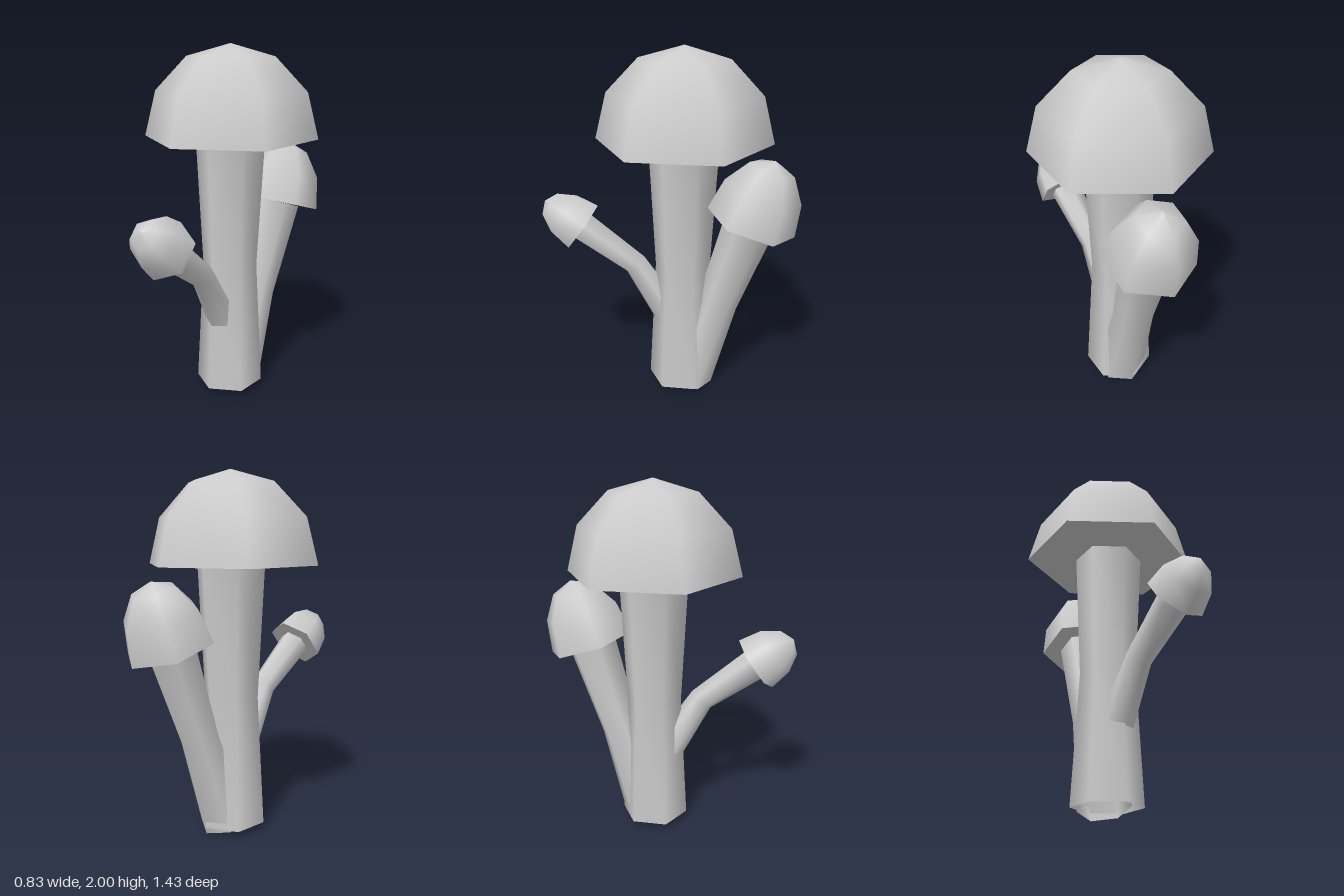
import * as THREE from 'three';
import { mergeVertices } from 'three/addons/utils/BufferGeometryUtils.js';

const SIDES = 6;
const UP = new THREE.Vector3(0, 1, 0);
const material = new THREE.MeshStandardMaterial({ color: 0xcccccc });
const openMaterial = new THREE.MeshStandardMaterial({ color: 0xcccccc, side: THREE.DoubleSide });
const vec = (a) => new THREE.Vector3(...a);

// Six-sided open tube through ring centres, each ring square to the path
function stalk(centres, radii) {
  const pts = centres.map(vec);
  const last = pts.length - 1;
  const geo = new THREE.LatheGeometry(radii.map((r, i) => new THREE.Vector2(r, i)), SIDES);
  const pos = geo.attributes.position;
  const turns = pts.map((p, i) => {
    const dir = pts[Math.min(i + 1, last)].clone().sub(pts[Math.max(i - 1, 0)]).normalize();
    return new THREE.Quaternion().setFromUnitVectors(UP, dir);
  });
  const v = new THREE.Vector3();
  for (let k = 0; k < pos.count; k++) {
    const ring = k % pts.length;
    v.fromBufferAttribute(pos, k).setY(0).applyQuaternion(turns[ring]).add(pts[ring]);
    pos.setXYZ(k, v.x, v.y, v.z);
  }
  geo.deleteAttribute('normal');
  geo.deleteAttribute('uv');
  const smooth = mergeVertices(geo, 1e-4);
  smooth.computeVertexNormals();
  return new THREE.Mesh(smooth, openMaterial);
}

// Faceted dome with a flat underside, pointing along an axis
function cap(centre, axis, radius, height) {
  const group = new THREE.Group();
  const profile = [0, 1, 2, 3].map((i) => {
    const a = (i * Math.PI) / 6;
    return new THREE.Vector2(i === 3 ? 0 : radius * Math.cos(a), height * Math.sin(a));
  });
  const dome = new THREE.Mesh(new THREE.LatheGeometry(profile, SIDES), material);
  dome.name = 'capDome';
  const disc = new THREE.CircleGeometry(radius, SIDES, Math.PI / 2).rotateX(Math.PI / 2);
  const underside = new THREE.Mesh(disc, material);
  underside.name = 'capUnderside';
  group.add(dome, underside);
  group.position.copy(vec(centre));
  group.quaternion.setFromUnitVectors(UP, vec(axis).normalize());
  return group;
}

const mushrooms = [
  {
    name: 'main',
    path: [[0, 0.04, -0.075], [0, 0.77, -0.075], [0, 1.5, -0.075]], radii: [0.193, 0.155, 0.193],
    cap: [[0, 1.5, -0.075], [0, 1, 0], 0.48, 0.5],
  },
  {
    name: 'back',
    path: [[0.01, 0.042, -0.117], [0.03, 0.56, -0.281], [0.053, 1.075, -0.448]], radii: [0.144, 0.115, 0.142],
    cap: [[0.053, 1.075, -0.452], [0.015, 0.954, -0.3], 0.249, 0.37],
  },
  {
    name: 'front',
    path: [[0.005, 0.46, 0.005], [0.025, 0.775, 0.195], [0.048, 1.0, 0.49]], radii: [0.092, 0.071, 0.09],
    cap: [[0.048, 1.0, 0.4925], [0.07, 0.6, 0.8], 0.163, 0.25],
  },
];

export function createModel() {
  const model = new THREE.Group();
  model.name = 'mushroomCluster';
  for (const m of mushrooms) {
    const group = new THREE.Group();
    group.name = `${m.name}Mushroom`;
    const stem = stalk(m.path, m.radii);
    stem.name = `${m.name}Stalk`;
    const top = cap(...m.cap);
    top.name = `${m.name}Cap`;
    group.add(stem, top);
    model.add(group);
  }
  return model;
}
